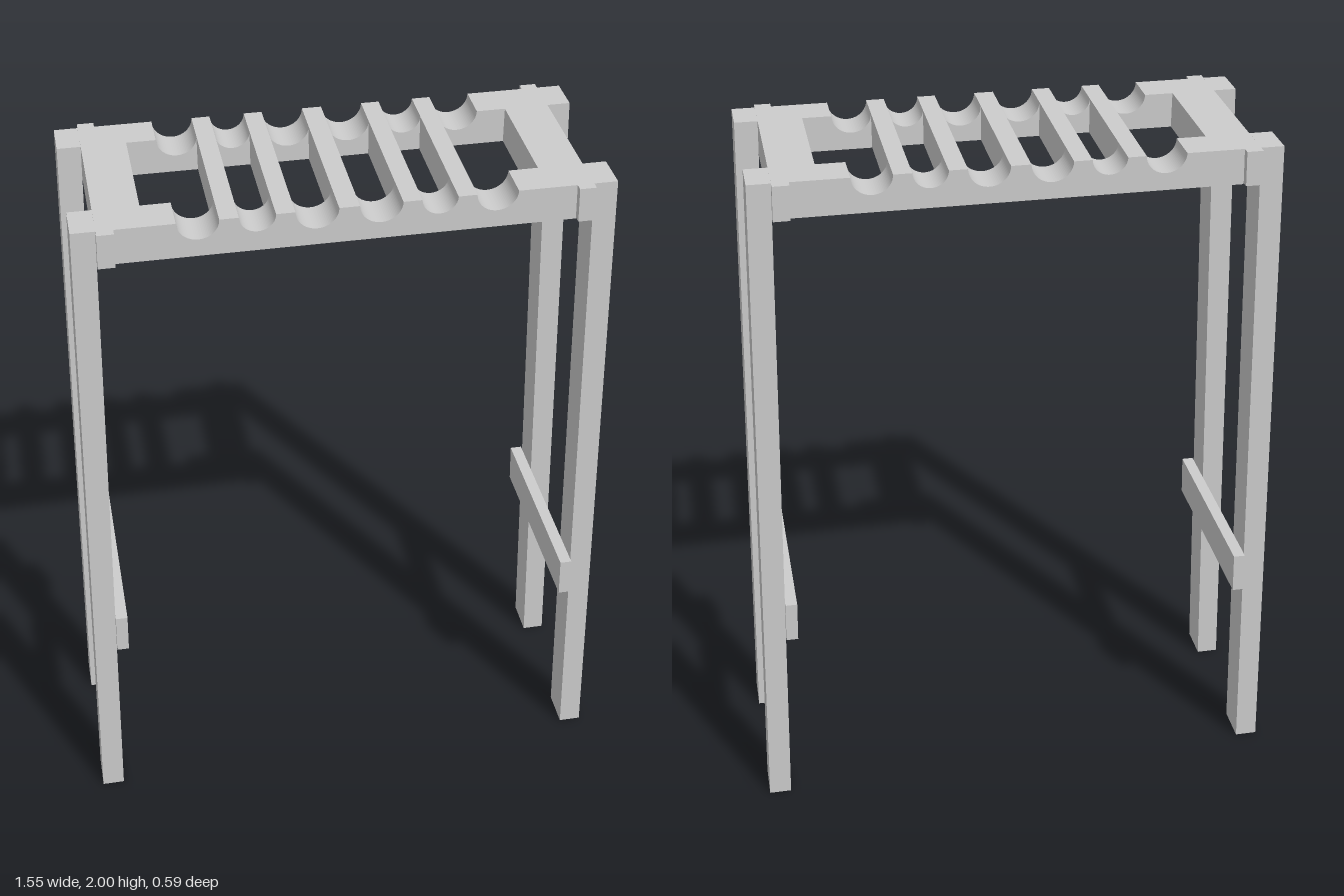
import * as THREE from 'three';

const material = new THREE.MeshStandardMaterial({ color: 0xcccccc });
const LEAN = 0.032; // outward lean of the legs per unit of height

// Extrude an x-y shape between two z values
function extrude(name, shape, z0, z1) {
  const geometry = new THREE.ExtrudeGeometry(shape, { depth: z1 - z0, bevelEnabled: false, curveSegments: 20 });
  geometry.translate(0, 0, z0);
  const mesh = new THREE.Mesh(geometry, material);
  mesh.name = name;
  return mesh;
}

// Leaning cross-section with level ends: inner and outer x at its foot
function leaningShape(side, inner, outer, y0, y1) {
  const shift = LEAN * (y1 - y0);
  return new THREE.Shape([[inner, y0], [outer, y0], [outer - shift, y1], [inner - shift, y1]]
    .map(([x, y]) => new THREE.Vector2(side * x, y)));
}

function box(name, x0, x1, y0, y1, z0, z1) {
  const mesh = new THREE.Mesh(new THREE.BoxGeometry(x1 - x0, y1 - y0, z1 - z0), material);
  mesh.position.set((x0 + x1) / 2, (y0 + y1) / 2, (z0 + z1) / 2);
  mesh.name = name;
  return mesh;
}

export function createModel() {
  const stool = new THREE.Group();
  stool.name = 'stool';
  const zIn = 0.168, zOut = 0.275, yLow = 1.9, yTop = 2;

  // Seat rails with a row of rounded scoops along the top edge
  const scoops = [[-0.445, -0.335], [-0.285, -0.19], [-0.14, -0.027], [0.027, 0.14], [0.19, 0.285], [0.335, 0.445]];
  const rail = new THREE.Shape();
  rail.moveTo(0.605, yLow);
  rail.lineTo(0.605, yTop);
  for (const [a, b] of [...scoops].reverse()) {
    const r = (b - a) / 2;
    rail.lineTo(b, yTop);
    rail.absellipse((a + b) / 2, yTop, r, r * 0.94, 0, Math.PI, true);
  }
  rail.lineTo(-0.605, yTop);
  rail.lineTo(-0.605, yLow);
  rail.closePath();
  stool.add(extrude('frontSeatRail', rail, zIn, zOut));
  stool.add(extrude('backSeatRail', rail, -zOut, -zIn));

  // Slats between neighbouring scoops
  for (let i = 0; i < scoops.length - 1; i++) {
    stool.add(box('seatSlat', scoops[i][1], scoops[i + 1][0], yLow, yTop, -zIn, zIn));
  }

  for (const side of [-1, 1]) {
    const label = side > 0 ? 'left' : 'right';
    // End board of the seat frame
    const ends = [side * 0.525, side * 0.605].sort((a, b) => a - b);
    stool.add(box(label + 'SeatEnd', ends[0], ends[1], yLow, yTop, -zIn, zIn));

    // Legs, leaning outwards towards the floor
    const leg = leaningShape(side, 0.711, 0.775, 0, yTop);
    stool.add(extrude(label + 'FrontLeg', leg, zIn, zOut));
    stool.add(extrude(label + 'BackLeg', leg, -zOut, -zIn));

    // Top crossbar and footrest on the inner faces of the legs
    stool.add(extrude(label + 'Crossbar', leaningShape(side, 0.605, 0.65, 1.903, yTop), -0.297, 0.297));
    stool.add(extrude(label + 'Footrest', leaningShape(side, 0.658, 0.692, 0.58, 0.702), -0.288, 0.288));
  }
  return stool;
}
